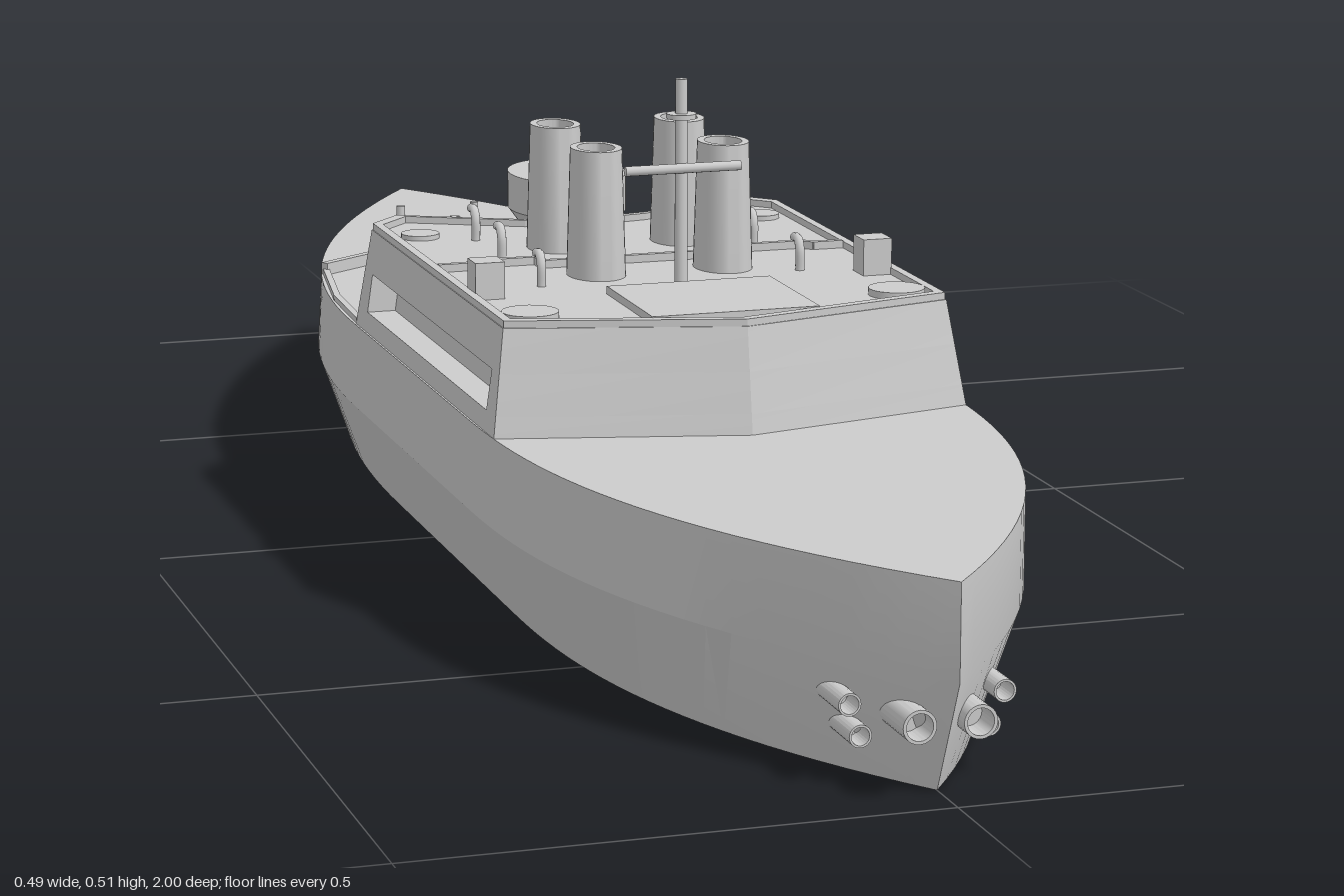
import * as THREE from 'three';
import { toCreasedNormals } from 'three/addons/utils/BufferGeometryUtils.js';

const material = new THREE.MeshStandardMaterial({ color: 0xcccccc, side: THREE.DoubleSide });
const V2 = (x, y) => new THREE.Vector2(x, y);

function add(parent, name, geometry, x = 0, y = 0, z = 0) {
  const mesh = new THREE.Mesh(geometry, material);
  mesh.name = name;
  mesh.position.set(x, y, z);
  parent.add(mesh);
  return mesh;
}

// Closes a starboard/port symmetric outline given its +x half, stern to bow
const mirrored = half => [...half, ...half.filter(p => p[0] > 1e-6).reverse().map(([x, z]) => [-x, z])];

// Capped solid through rings of [x, z] points at given heights
function loft(rings, heights) {
  const pos = [], n = rings[0].length;
  const push = (r, i) => pos.push(rings[r][i % n][0], heights[r], rings[r][i % n][1]);
  for (let r = 0; r < rings.length - 1; r++)
    for (let i = 0; i < n; i++) {
      push(r, i); push(r, i + 1); push(r + 1, i + 1);
      push(r, i); push(r + 1, i + 1); push(r + 1, i);
    }
  const last = rings.length - 1;
  for (const r of [0, last]) {
    const faces = THREE.ShapeUtils.triangulateShape(rings[r].map(([x, z]) => V2(x, -z)), []);
    for (const [a, b, c] of faces) for (const i of r ? [a, b, c] : [c, b, a]) push(r, i);
  }
  const g = new THREE.BufferGeometry();
  g.setAttribute('position', new THREE.Float32BufferAttribute(pos, 3));
  return toCreasedNormals(g, 0.35);
}

// Pointed waterline: full amidships, tapering to both ends
function hullRing(width, stern, bow, steps = 24) {
  const half = [], z0 = 0.3, z1 = -0.15;
  for (let i = 0; i <= steps; i++) {
    const t = 1 - i / steps;
    half.push([width * (1 - t ** 2.4), z0 + (stern - z0) * t]);
  }
  for (let i = 0; i <= steps; i++) {
    const t = i / steps;
    half.push([width * (1 - t ** 2.1), z1 + (bow - z1) * t]);
  }
  return mirrored(half);
}

// Deckhouse outline at height y; gallery > 0 cuts the long side recess
function houseRing(y, gallery = 0) {
  const t = (y - 0.2) / 0.11, mix = (a, b) => a + (b - a) * t;
  const side = mix(0.241, 0.225);
  const half = [[0, mix(0.45, 0.432)], [side, mix(0.392, 0.372)]];
  if (gallery) half.push([side, 0.355], [side - gallery, 0.355], [side - gallery, -0.11], [side, -0.11]);
  half.push([side, mix(-0.15, -0.135)], [mix(0.2, 0.19), mix(-0.21, -0.172)],
    [mix(0.08, 0.07), mix(-0.16, -0.112)], [0, mix(-0.13, -0.1)]);
  return mirrored(half);
}

// Low wall following [x, z] points
function wall(parent, name, points, y, height, thick) {
  for (let i = 0; i < points.length - 1; i++) {
    const [ax, az] = points[i], [bx, bz] = points[i + 1];
    const length = Math.hypot(bx - ax, bz - az) + thick * 0.6;
    const m = add(parent, name, new THREE.BoxGeometry(length, height, thick), (ax + bx) / 2, y + height / 2, (az + bz) / 2);
    m.rotation.y = -Math.atan2(bz - az, bx - ax);
  }
}

const lathe = (points, sides = 32) =>
  toCreasedNormals(new THREE.LatheGeometry(points.map(([r, y]) => V2(r, y)), sides), 0.5);

export function createModel() {
  const ship = new THREE.Group();
  ship.name = 'ship';
  const roof = 0.303;

  add(ship, 'hull', loft(
    [hullRing(0.197, 0.95, -1), hullRing(0.243, 1, -0.935), hullRing(0.243, 1, -0.885)], [0, 0.11, 0.2]));

  // Deckhouse in three layers, the middle one recessed along both sides
  for (const [name, y0, y1, cut] of [['deckhouseBase', 0.2, 0.22, 0], ['deckhouseGallery', 0.22, 0.26, 0.03], ['deckhouseTop', 0.26, roof, 0]])
    add(ship, name, loft([houseRing(y0, cut), houseRing(y1, cut)], [y0, y1]));

  // Rim around the deckhouse roof
  const edge = houseRing(0.31), rimShape = new THREE.Shape(edge.map(([x, z]) => V2(x, -z)));
  rimShape.holes.push(new THREE.Path(edge.map(([x, z]) => V2(x * 0.96, -(0.13 + (z - 0.13) * 0.965)))));
  const rim = new THREE.ExtrudeGeometry(rimShape, { depth: 0.31 - roof, bevelEnabled: false });
  add(ship, 'roofRim', rim.rotateX(-Math.PI / 2), 0, roof, 0);

  // Round gun platform on a flared pedestal
  const platform = add(ship, 'gunPlatform', lathe(
    [[0.038, 0.2], [0.04, 0.235], [0.047, 0.262], [0.06, 0.288], [0.078, 0.308], [0.078, 0.347], [0, 0.347]], 48), 0, 0, -0.175);
  platform.scale.x = 0.8;

  // Four hollow oval funnels
  for (const x of [-0.067, 0.067]) for (const z of [0.01, 0.155]) {
    const funnel = add(ship, 'funnel', lathe(
      [[0.038, roof], [0.033, 0.433], [0.024, 0.433], [0.024, 0.34], [0, 0.34]]), x, 0, z);
    funnel.scale.x = 0.77;
  }

  // Mast with yard and lookout ring
  add(ship, 'mast', new THREE.CylinderGeometry(0.006, 0.0065, 0.207, 16), 0, 0.4065, 0.225);
  add(ship, 'yard', new THREE.CylinderGeometry(0.005, 0.005, 0.12, 12).rotateZ(Math.PI / 2), 0, 0.421, 0.231);
  add(ship, 'lookout', new THREE.CylinderGeometry(0.015, 0.015, 0.005, 20), 0, 0.473, 0.225);

  // Roof fittings, mirrored
  add(ship, 'roofHatch', new THREE.BoxGeometry(0.17, 0.009, 0.15), 0, roof + 0.0035, 0.325);
  for (const s of [-1, 1]) {
    add(ship, 'locker', new THREE.BoxGeometry(0.03, 0.037, 0.03), s * 0.202, 0.3215, 0.228);
    add(ship, 'roundHatch', new THREE.CylinderGeometry(0.028, 0.028, 0.008, 28), s * 0.188, roof + 0.003, 0.335);
    add(ship, 'forwardHatch', new THREE.CylinderGeometry(0.02, 0.02, 0.005, 24), s * 0.188, roof + 0.0025, -0.08);
    for (const z of [-0.05, 0.05, 0.195]) {
      const path = new THREE.CatmullRomCurve3([[0, 0, 0], [0, 0.022, 0], [0, 0.031, -0.006], [0, 0.031, -0.017]]
        .map(p => new THREE.Vector3(...p)));
      add(ship, 'ventilator', new THREE.TubeGeometry(path, 12, 0.0048, 10), s * 0.136, roof, z);
    }
    wall(ship, 'roofDivider', [[0, 0.108], [s * 0.11, 0.108], [s * 0.11, 0.088], [s * 0.175, 0.088], [s * 0.185, 0.098], [s * 0.214, 0.098]],
      roof, 0.008, 0.007);

    // Breakwater and the low edge leading to it
    wall(ship, 'breakwater', [[0, -0.552], [s * 0.21, -0.41]], 0.2, 0.013, 0.009);
    wall(ship, 'deckEdge', [[s * 0.21, -0.41], [s * 0.232, -0.27], [s * 0.237, -0.15]], 0.2, 0.006, 0.007);
    add(ship, 'bollard', new THREE.CylinderGeometry(0.005, 0.005, 0.012, 10), s * 0.045, 0.206, -0.715);

    // Stern tubes with open ends
    for (const [x, y, r, end, len] of [[0.028, 0.068, 0.0155, 0.98, 0.1], [0.072, 0.076, 0.0105, 0.925, 0.08], [0.06, 0.045, 0.0105, 0.92, 0.08]]) {
      const tube = lathe([[r, -len], [r, 0], [r * 0.8, 0], [r * 0.8, -0.03], [0, -0.03]], 24);
      add(ship, 'sternTube', tube.rotateX(Math.PI / 2), s * x, y, end);
    }
  }
  add(ship, 'capstan', new THREE.BoxGeometry(0.01, 0.012, 0.01), 0, 0.206, -0.635);
  return ship;
}
